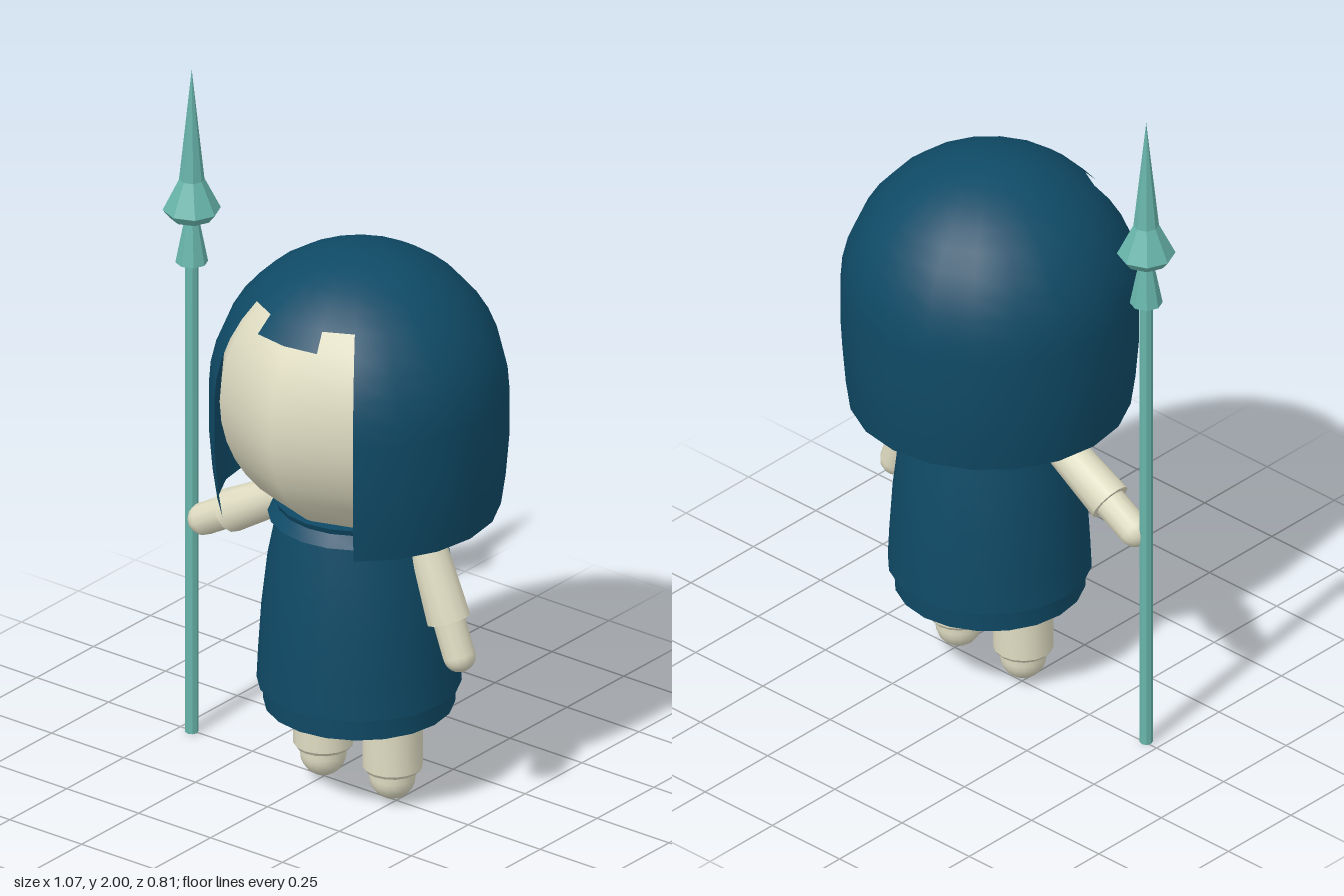
import * as THREE from 'three';
import { toCreasedNormals } from 'three/addons/utils/BufferGeometryUtils.js';

const mat = (name, color, extra = {}) =>
  Object.assign(new THREE.MeshStandardMaterial({ color, ...extra }), { name });

// Turned solid from [radius, height] pairs listed bottom to top
const lathe = (pairs, sides) =>
  new THREE.LatheGeometry(pairs.map(([r, y]) => new THREE.Vector2(r, y)), sides);
const creased = (pairs, sides, angle = 0.6) => toCreasedNormals(lathe(pairs, sides), angle);

// Quarter arc of a ball, from equator to pole (dir 1 = up, -1 = down)
function arc(radius, cy, steps, dir = 1) {
  const out = [];
  for (let i = 0; i <= steps; i++) {
    const a = (i / steps) * Math.PI / 2;
    out.push([i === steps ? 0 : radius * Math.cos(a), cy + dir * radius * Math.sin(a)]);
  }
  return dir > 0 ? out : out.reverse();
}

export function createModel() {
  const cloth = mat('blue cloth', 0x0f4a66, { side: THREE.DoubleSide });
  const skin = mat('ivory', 0xdfdcc2);
  const teal = mat('teal metal', 0x68b5ab);

  const model = new THREE.Group();
  model.name = 'spearBearer';
  const figure = new THREE.Group();
  figure.name = 'figure';
  figure.position.set(0.125, 0, 0.005);
  model.add(figure);

  const add = (parent, name, geometry, material) => {
    const mesh = new THREE.Mesh(geometry, material);
    mesh.name = name;
    parent.add(mesh);
    return mesh;
  };

  // Head: ball with ten sides and a ridge facing front
  add(figure, 'head', lathe([...arc(0.395, 1.22, 10, -1), ...arc(0.395, 1.22, 10).slice(1)], 10), skin);

  // Hair: bowl-shaped shell with the face opening left out
  const hairProfile = [[0.387, 0.87], [0.4, 0.96], [0.41, 1.08], ...arc(0.41, 1.22, 10)];
  const sides = 20;
  const hair = lathe(hairProfile, sides);
  const rows = hairProfile.length - 1;
  const kept = [];
  for (let s = 0; s < sides; s++) {
    for (let row = 0; row < rows; row++) {
      const fromFront = Math.min(s, sides - 1 - s); // 0 is the strip beside the centre line
      const top = fromFront === 0 ? 7 : fromFront === 1 ? 8 : 0; // fringe hangs lower in the middle
      if (row < top) continue;
      const k = (s * rows + row) * 6;
      for (let i = 0; i < 6; i++) kept.push(hair.index.getX(k + i));
    }
  }
  hair.setIndex(kept);
  add(figure, 'hair', hair, cloth);

  // Robe, hem and collar
  add(figure, 'robe', creased([
    [0.255, 0.335], [0.28, 0.335], [0.276, 0.42], [0.267, 0.56], [0.25, 0.71], [0.225, 0.84], [0, 0.84],
  ], 20), cloth);
  add(figure, 'hem', creased([[0, 0.27], [0.262, 0.27], [0.265, 0.34]], 20), cloth);
  add(figure, 'collar', creased([
    [0.2, 0.835], [0.25, 0.838], [0.225, 0.87], [0.232, 0.887], [0, 0.887],
  ], 20), cloth);

  // Legs and round feet
  for (const side of [-1, 1]) {
    const leg = new THREE.Group();
    leg.name = side > 0 ? 'leftLeg' : 'rightLeg';
    leg.position.set(side * 0.12, 0, 0.005);
    figure.add(leg);
    add(leg, 'trouserLeg', creased([[0, 0.1], [0.076, 0.1], [0.083, 0.11], [0.083, 0.33]], 16), skin);
    add(leg, 'foot', lathe([...arc(0.064, 0.078, 6, -1), [0.064, 0.11]], 16), skin);
  }

  // Arms: sleeve with a rounded shoulder, and a round-ended hand
  const arms = [
    ['leftArm', 0.247, 0.795, 20],
    ['rightArm', -0.27, 0.812, -60],
  ];
  for (const [name, x, y, degrees] of arms) {
    const arm = new THREE.Group();
    arm.name = name;
    arm.position.set(x, y, 0.005);
    arm.rotation.z = THREE.MathUtils.degToRad(degrees);
    figure.add(arm);
    add(arm, 'sleeve', creased([[0, -0.2], [0.062, -0.2], ...arc(0.054, 0, 5)], 12, 0.9), skin);
    add(arm, 'hand', lathe([...arc(0.046, -0.305, 6, -1), [0.046, -0.19]], 12), skin);
  }

  // Spear: pole, socket and faceted blade
  const spear = new THREE.Group();
  spear.name = 'spear';
  spear.position.set(-0.457, 0, 0.005);
  model.add(spear);
  const facet = (pairs) => creased(pairs, 8, 0.1);
  add(spear, 'pole', facet([[0, 0], [0.018, 0], [0.018, 1.45]]), teal);
  add(spear, 'socket', facet([[0, 1.42], [0.045, 1.42], [0.016, 1.57]]), teal);
  add(spear, 'blade', facet([[0, 1.555], [0.06, 1.555], [0.08, 1.58], [0.035, 1.67], [0, 2]]), teal);

  return model;
}
